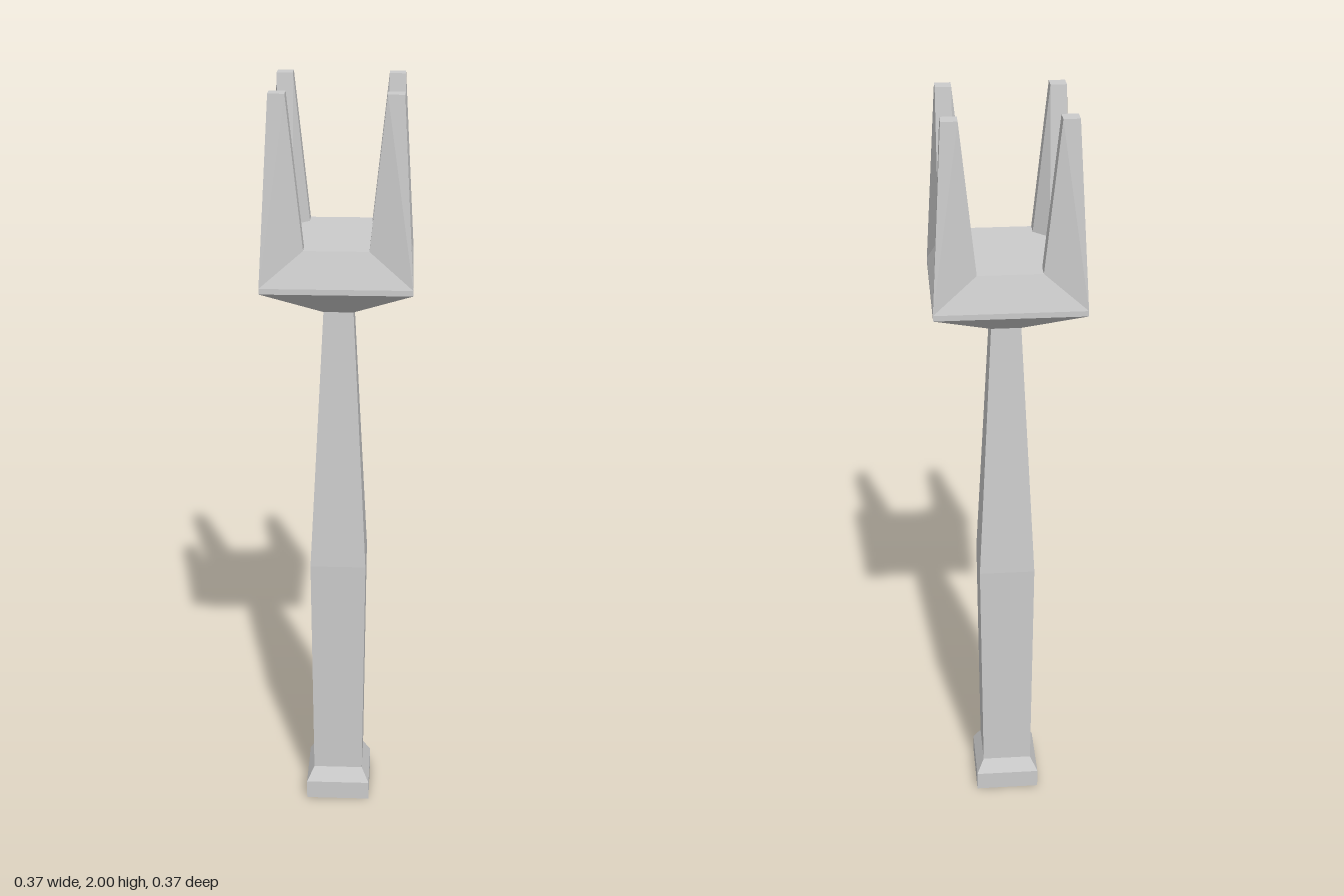
import * as THREE from 'three';
import { ConvexGeometry } from 'three/addons/geometries/ConvexGeometry.js';

const material = new THREE.MeshStandardMaterial({ color: 0xcccccc, flatShading: true });

// Square-section solid from [halfWidth, y] pairs, listed bottom to top
function squareLoft(name, profile) {
  const points = profile.map(([half, y]) => new THREE.Vector2(half * Math.SQRT2, y));
  points.unshift(new THREE.Vector2(0, points[0].y));
  points.push(new THREE.Vector2(0, points[points.length - 1].y));
  const geometry = new THREE.LatheGeometry(points, 4, Math.PI / 4).toNonIndexed();
  geometry.computeVertexNormals();
  const mesh = new THREE.Mesh(geometry, material);
  mesh.name = name;
  return mesh;
}

// Tapered corner prong with a chamfered inner foot; sx and sz pick the corner
function prong(name, sx, sz) {
  const points = [
    [0.187, 1.537, 0.187], // outer corner of the head
    [0.08, 1.625, 0.16], [0.08, 1.625, 0.12], [0.12, 1.625, 0.08], [0.16, 1.625, 0.08], // foot
    [0.12, 2, 0.12], [0.16, 2, 0.12], [0.16, 2, 0.16], [0.12, 2, 0.16], // square tip
  ].map(([x, y, z]) => new THREE.Vector3(x * sx, y, z * sz));
  const mesh = new THREE.Mesh(new ConvexGeometry(points), material);
  mesh.name = name;
  return mesh;
}

export function createModel() {
  const model = new THREE.Group();
  model.name = 'prongedStaff';

  model.add(squareLoft('pommel', [[0.087, 0], [0.087, 0.053], [0.067, 0.092]]));
  model.add(squareLoft('handle', [[0.067, 0.092], [0.0735, 0.73], [0.038, 1.432]]));
  model.add(squareLoft('head', [[0.038, 1.432], [0.187, 1.523], [0.187, 1.537], [0.16, 1.625]]));

  // Four mirrored prongs
  for (const [sx, side] of [[1, 'Left'], [-1, 'Right']]) {
    for (const [sz, end] of [[1, 'front'], [-1, 'back']]) {
      model.add(prong(`${end}${side}Prong`, sx, sz));
    }
  }
  return model;
}
